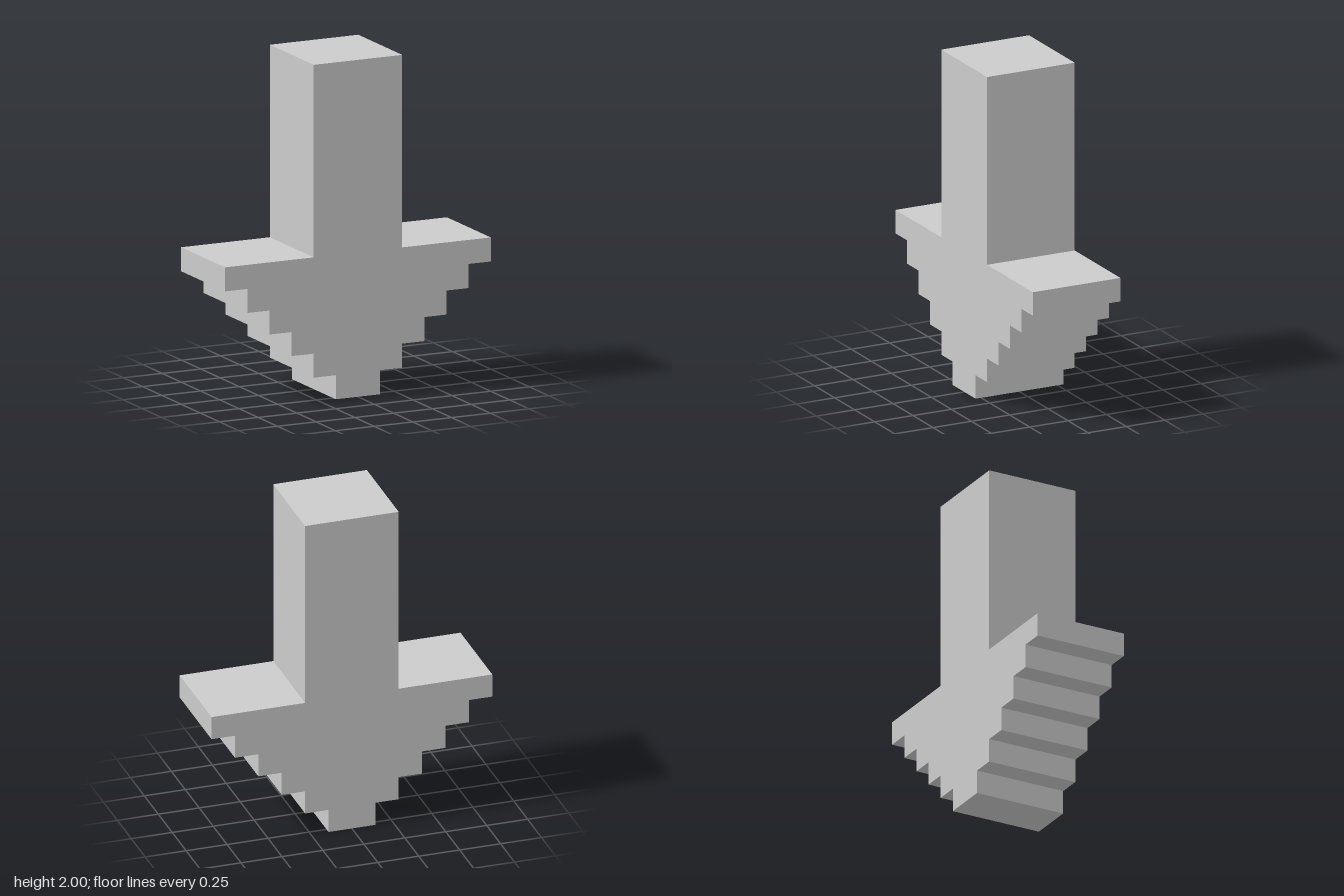
import * as THREE from 'three';

const UNIT = 1 / 7; // height and overhang of one step
const STEPS = 6;
const DEPTH = 4 * UNIT;

export function createModel() {
  const group = new THREE.Group();
  group.name = 'steppedArrow';

  // Right half of the outline, from the tip up: stepped head, then shaft
  const right = [];
  for (let i = 0; i < STEPS; i++) {
    const x = (i + 1) * UNIT;
    right.push(new THREE.Vector2(x, i * UNIT), new THREE.Vector2(x, (i + 1) * UNIT));
  }
  right.push(new THREE.Vector2(2 * UNIT, STEPS * UNIT), new THREE.Vector2(2 * UNIT, 2));

  // Left half is the mirror image, running back down
  const left = right.map((p) => new THREE.Vector2(-p.x, p.y)).reverse();

  const geometry = new THREE.ExtrudeGeometry(new THREE.Shape([...right, ...left]), {
    depth: DEPTH,
    bevelEnabled: false,
  });
  geometry.translate(0, 0, -DEPTH / 2);

  const arrow = new THREE.Mesh(
    geometry,
    new THREE.MeshStandardMaterial({ color: 0xcccccc, flatShading: true })
  );
  arrow.name = 'arrowBody';
  group.add(arrow);
  return group;
}
